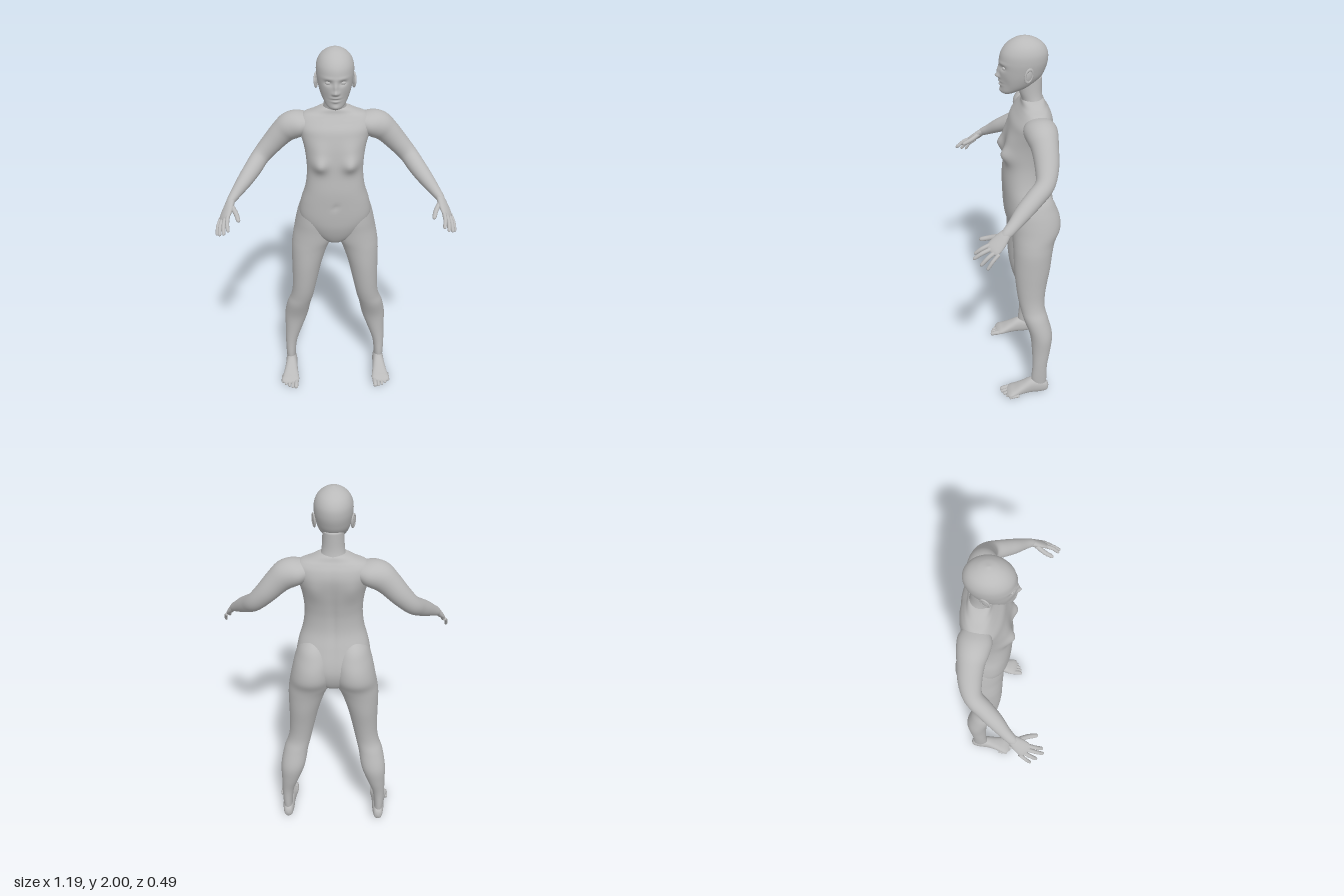
import * as THREE from 'three';

const V = (x, y, z) => new THREE.Vector3(x, y, z);
const UP = V(0, 1, 0), FRONT = V(0, 0, 1);

// Smooth interpolation through numeric rows, several steps per interval
function smoothRows(rows, steps) {
  const out = [], last = rows.length - 1;
  for (let i = 0; i < last; i++) {
    const [p, q, r, s] = [-1, 0, 1, 2].map(d => rows[Math.min(last, Math.max(0, i + d))]);
    for (let k = 0; k < steps + (i === last - 1 ? 1 : 0); k++) {
      const t = k / steps;
      out.push(q.map((b, c) => b + 0.5 * t * (r[c] - p[c] + t * (2 * p[c] - 5 * b + 4 * r[c] - s[c]
        + t * (3 * (b - r[c]) + s[c] - p[c])))));
    }
  }
  return out;
}

// Closed loft through rows [x, y, z, sideRadius, otherRadius]; axis fixes the ring direction
function loft(rows, { ref = FRONT, axis = null, sides = 32, steps = 5, power = 2 } = {}) {
  const rings = smoothRows(rows, steps), pos = [], index = [];
  const centre = i => V(rings[i][0], rings[i][1], rings[i][2]);
  const n = rings.length;
  rings.forEach((ring, i) => {
    const t = axis || centre(Math.min(n - 1, i + 1)).sub(centre(Math.max(0, i - 1))).normalize();
    const u = t.clone().cross(ref).normalize(), v = u.clone().cross(t);
    const round = w => Math.sign(w) * Math.abs(w) ** (2 / power);
    for (let j = 0; j < sides; j++) {
      const th = j / sides * Math.PI * 2;
      const p = centre(i).addScaledVector(u, Math.max(0.0005, ring[3]) * round(Math.cos(th)))
        .addScaledVector(v, Math.max(0.0005, ring[4]) * round(Math.sin(th)));
      pos.push(p.x, p.y, p.z);
    }
  });
  for (let j = 0; j < sides; j++) {
    const k = (j + 1) % sides;
    for (let i = 0; i < n - 1; i++) {
      const a = i * sides + j, b = i * sides + k;
      index.push(a, a + sides, b, b, a + sides, b + sides);
    }
    index.push(n * sides, j, k, n * sides + 1, (n - 1) * sides + k, (n - 1) * sides + j);
  }
  for (const i of [0, n - 1]) pos.push(...centre(i).toArray());
  const g = new THREE.BufferGeometry();
  g.setAttribute('position', new THREE.Float32BufferAttribute(pos, 3));
  g.setIndex(index);
  g.computeVertexNormals();
  return g;
}

// Horizontal slices [y, xMin, xMax, zFront, zBack]
const slices = (rows, opts) => loft(rows.map(([y, l, r, f, b]) =>
  [(l + r) / 2, y, (f + b) / 2, (r - l) / 2, (f - b) / 2]), { axis: UP, ...opts });
// Symmetric slices [y, halfWidth, zFront, zBack]
const trunk = (rows, opts) => slices(rows.map(([y, w, f, b]) => [y, -w, w, f, b]), opts);

// Push the front (or back) surface along z with soft bumps [x, y, dz, spreadX, spreadY, back]
function sculpt(g, midZ, bumps) {
  const p = g.attributes.position;
  for (let i = 0; i < p.count; i++) {
    const x = p.getX(i), y = p.getY(i), z = p.getZ(i);
    let d = 0;
    for (const [bx, by, dz, sx, sy, back] of bumps) {
      const side = THREE.MathUtils.clamp((back ? midZ - z : z - midZ) / 0.04, 0, 1);
      for (const cx of bx ? [bx, -bx] : [0])
        d += side * dz * Math.exp(-(((x - cx) / sx) ** 2) - ((y - by) / sy) ** 2);
    }
    p.setZ(i, z + d);
  }
  g.computeVertexNormals();
  return g;
}

function mirrored(g) {
  const m = g.clone().scale(-1, 1, 1), ix = m.index.array;
  for (let i = 0; i < ix.length; i += 3) [ix[i], ix[i + 1]] = [ix[i + 1], ix[i]];
  m.computeVertexNormals();
  return m;
}

// Rounded finger or toe through three points
function digit(a, b, c, r, ref) {
  const at = (p, q, t) => p.map((v, i) => v + (q[i] - v) * t);
  const row = (p, k) => [...p, r * k, r * k];
  return loft([row(a, 1.05), row(b, 1), row(at(b, c, 0.72), 0.88), row(at(b, c, 0.93), 0.6), row(c, 0.03)],
    { ref, sides: 14, steps: 4 });
}

export function createModel() {
  const body = new THREE.Group();
  body.name = 'mannequin';
  const skin = new THREE.MeshStandardMaterial({ color: 0xbababa });
  skin.name = 'plain grey';
  const add = (name, g) => {
    const m = new THREE.Mesh(g, skin);
    m.name = name;
    body.add(m);
  };
  const pair = (name, g) => {
    add('left ' + name, g);
    add('right ' + name, mirrored(g));
  };

  // Torso with chest, spine groove, shoulder blades and navel
  const torso = trunk([
    [0.932, 0.015, -0.06, -0.12], [0.955, 0.06, -0.02, -0.17], [1.0, 0.12, 0.008, -0.2],
    [1.06, 0.165, 0.028, -0.215], [1.12, 0.187, 0.036, -0.21], [1.2, 0.176, 0.04, -0.188],
    [1.28, 0.153, 0.042, -0.165], [1.36, 0.143, 0.036, -0.162], [1.43, 0.145, 0.03, -0.172],
    [1.5, 0.155, 0.022, -0.187], [1.56, 0.172, 0.01, -0.198], [1.6, 0.182, -0.002, -0.2],
    [1.635, 0.178, -0.025, -0.192], [1.66, 0.155, -0.042, -0.178], [1.675, 0.115, -0.05, -0.168],
    [1.695, 0.07, -0.055, -0.158], [1.705, 0.03, -0.07, -0.14],
  ], { sides: 80, steps: 6, power: 2.3 });
  add('torso', sculpt(torso, -0.08, [
    [0.078, 1.435, 0.036, 0.042, 0.04], [0.08, 1.5, 0.012, 0.05, 0.05], [0, 1.2, -0.007, 0.014, 0.016],
    [0, 1.37, -0.014, 0.02, 0.24, 1], [0, 1.37, 0.022, 0.018, 0.24, 1], [0.09, 1.53, -0.008, 0.04, 0.06, 1],
  ]));

  add('neck', trunk([
    [1.62, 0.085, -0.05, -0.18], [1.67, 0.067, -0.056, -0.165], [1.7, 0.057, -0.052, -0.155],
    [1.74, 0.052, -0.04, -0.15], [1.81, 0.05, -0.03, -0.15],
  ]));

  // Head with brow, eye sockets, nose, lips and chin
  const head = trunk([
    [1.727, 0.014, 0.03, 0.005], [1.74, 0.038, 0.045, -0.03], [1.77, 0.06, 0.049, -0.1],
    [1.81, 0.076, 0.053, -0.145], [1.85, 0.085, 0.054, -0.165], [1.89, 0.09, 0.053, -0.175],
    [1.93, 0.087, 0.044, -0.172], [1.965, 0.07, 0.018, -0.15], [1.99, 0.038, -0.02, -0.11],
    [2.0, 0.003, -0.06, -0.068],
  ], { sides: 96, steps: 9 });
  add('head', sculpt(head, -0.02, [
    [0.034, 1.863, -0.011, 0.018, 0.012], [0, 1.818, 0.016, 0.011, 0.011], [0, 1.842, 0.01, 0.009, 0.024],
    [0.012, 1.814, 0.006, 0.007, 0.007], [0.034, 1.884, 0.003, 0.026, 0.008], [0, 1.793, 0.007, 0.02, 0.006],
    [0, 1.784, -0.004, 0.024, 0.004], [0, 1.776, 0.007, 0.017, 0.006], [0, 1.745, 0.006, 0.018, 0.012],
    [0.045, 1.79, -0.004, 0.016, 0.03],
  ]));
  pair('eye', new THREE.SphereGeometry(1, 20, 14).scale(0.014, 0.008, 0.01).translate(0.034, 1.862, 0.033));
  const ear = new THREE.SphereGeometry(1, 20, 14).scale(0.006, 0.028, 0.017);
  const earRim = new THREE.TorusGeometry(0.019, 0.005, 10, 28).rotateY(Math.PI / 2).scale(1, 1.6, 1);
  for (const [name, g] of [['ear', ear], ['ear rim', earRim]])
    pair(name, g.rotateY(0.35).rotateX(-0.2).translate(0.09, 1.84, -0.073));

  // Legs, whose rounded tops form the buttocks
  pair('leg', slices([
    [0.03, 0.235, 0.285, -0.1, -0.165], [0.1, 0.237, 0.291, -0.085, -0.17], [0.2, 0.226, 0.293, -0.09, -0.172],
    [0.3, 0.192, 0.291, -0.088, -0.19], [0.4, 0.158, 0.29, -0.078, -0.2], [0.5, 0.14, 0.272, -0.045, -0.177],
    [0.56, 0.125, 0.25, -0.03, -0.162], [0.62, 0.112, 0.239, -0.018, -0.162], [0.7, 0.095, 0.236, -0.008, -0.172],
    [0.8, 0.072, 0.236, 0, -0.19], [0.9, 0.04, 0.235, 0.002, -0.203], [0.96, 0.012, 0.228, 0.004, -0.217],
    [1.02, 0.004, 0.217, 0.006, -0.243], [1.08, 0.003, 0.205, 0.01, -0.242], [1.14, 0.006, 0.19, 0.008, -0.222],
    [1.2, 0.03, 0.165, -0.01, -0.19], [1.26, 0.07, 0.11, -0.05, -0.12],
  ], { sides: 40 }));

  // Feet and toes
  pair('foot', loft([
    [0.262, 0.038, -0.183, 0.004, 0.006], [0.262, 0.04, -0.172, 0.023, 0.032], [0.262, 0.05, -0.13, 0.032, 0.047],
    [0.262, 0.052, -0.08, 0.034, 0.048], [0.264, 0.04, -0.03, 0.04, 0.035], [0.266, 0.029, 0.01, 0.048, 0.024],
    [0.268, 0.024, 0.035, 0.051, 0.018], [0.268, 0.02, 0.052, 0.042, 0.011], [0.268, 0.018, 0.06, 0.02, 0.004],
  ], { ref: UP, axis: FRONT, power: 2.3 }));
  for (let i = 0; i < 5; i++) {
    const x = 0.232 + i * 0.0195, tip = [0.092, 0.09, 0.08, 0.066, 0.047][i], r = i ? 0.0095 : 0.013;
    pair('toe ' + (i + 1), digit([x, 0.02, tip - 0.055], [x + 0.002, 0.018, tip - 0.025], [x + 0.003, 0.011, tip], r, UP));
  }

  // Arms from inside the shoulder to the wrist
  pair('arm', loft([
    [0.1, 1.62, -0.11, 0.03, 0.05], [0.16, 1.605, -0.115, 0.06, 0.078], [0.215, 1.59, -0.12, 0.07, 0.075],
    [0.26, 1.555, -0.125, 0.062, 0.064], [0.32, 1.49, -0.125, 0.053, 0.056], [0.375, 1.43, -0.108, 0.046, 0.046],
    [0.415, 1.385, -0.055, 0.044, 0.044], [0.455, 1.345, 0, 0.038, 0.04], [0.495, 1.305, 0.05, 0.028, 0.03],
    [0.52, 1.28, 0.085, 0.021, 0.025], [0.53, 1.265, 0.102, 0.015, 0.018],
  ]));

  // Hands: palm, four fingers and thumb
  const palmDown = V(-0.65, -0.7, -0.28).normalize();
  pair('palm', loft([
    [0.51, 1.292, 0.07, 0.02, 0.016], [0.522, 1.276, 0.092, 0.026, 0.018], [0.535, 1.25, 0.12, 0.035, 0.017],
    [0.548, 1.226, 0.147, 0.037, 0.013], [0.554, 1.215, 0.16, 0.03, 0.008], [0.556, 1.211, 0.165, 0.01, 0.003],
  ], { ref: palmDown }));
  const tips = [[0.527, 1.187, 0.236], [0.549, 1.174, 0.243], [0.574, 1.152, 0.213], [0.591, 1.138, 0.185]];
  tips.forEach((tip, i) => {
    const k = i / 3, base = [0.531 + 0.041 * k, 1.236 - 0.03 * k, 0.158 - 0.03 * k];
    const knuckle = base.map((v, c) => (v + tip[c]) / 2 + [0.004, 0.006, 0.002][c]);
    pair('finger ' + (i + 1), digit(base, knuckle, tip, i === 3 ? 0.0085 : 0.0098, palmDown));
  });
  pair('thumb', digit([0.52, 1.268, 0.105], [0.492, 1.246, 0.155], [0.475, 1.228, 0.207], 0.012, palmDown));

  return body;
}
